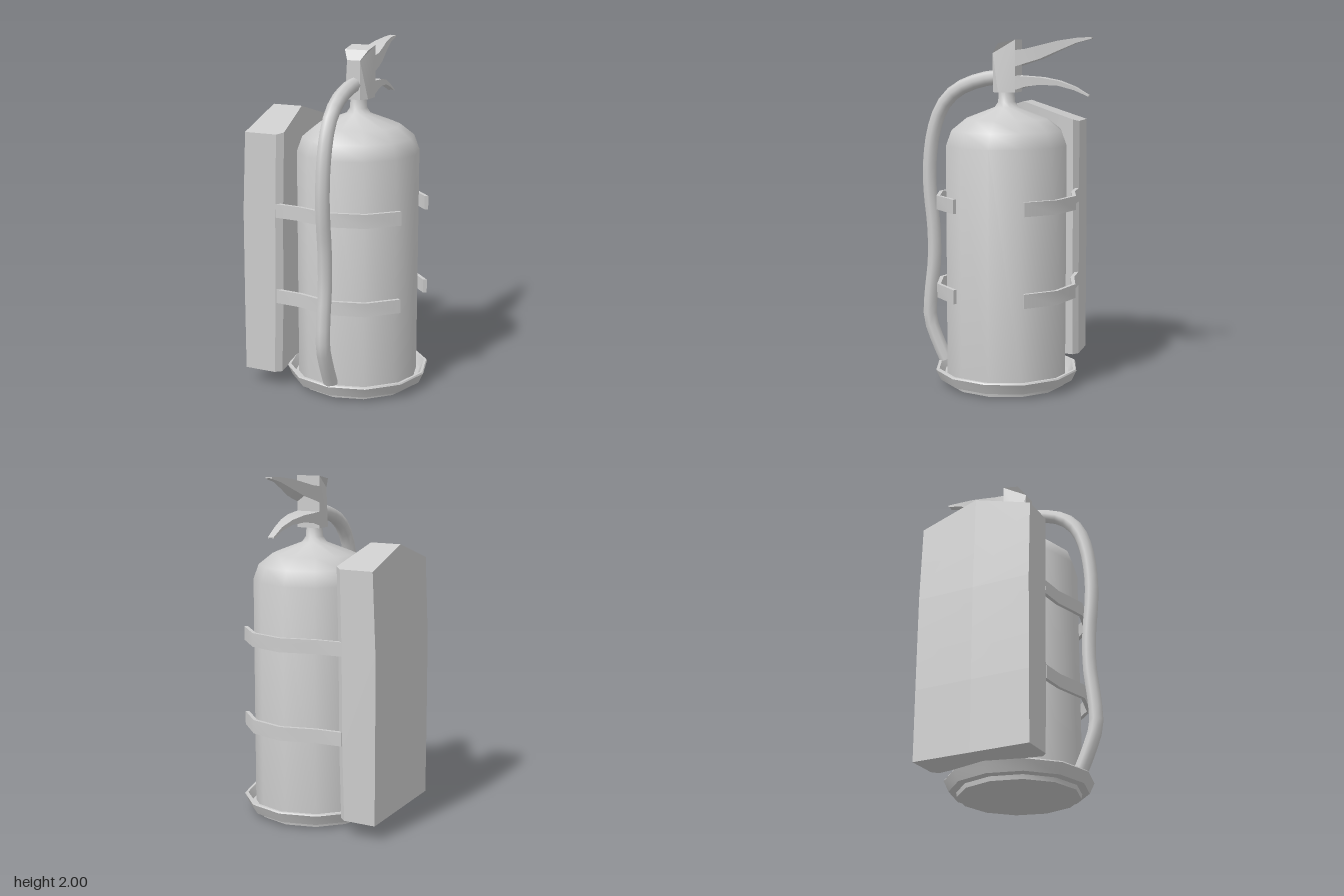
import * as THREE from 'three';
import { toCreasedNormals } from 'three/addons/utils/BufferGeometryUtils.js';

const CX = 0.07, CZ = -0.01; // axis of the tank

// Skin through closed rings (counter-clockwise seen from the far end), capped at both ends
function loft(rings, crease = 0.6) {
  const pos = [];
  const n = rings[0].length;
  const tri = (...pts) => pts.forEach((p) => pos.push(...p));
  const middle = (r) => r[0].map((v, k) => (v + r[n / 2][k]) / 2);
  const last = rings[rings.length - 1];
  for (let j = 0; j < n; j++) {
    const k = (j + 1) % n;
    for (let i = 0; i < rings.length - 1; i++) {
      const [a, b, c, d] = [rings[i][j], rings[i][k], rings[i + 1][k], rings[i + 1][j]];
      tri(a, b, c);
      tri(a, c, d);
    }
    tri(middle(rings[0]), rings[0][k], rings[0][j]);
    tri(middle(last), last[j], last[k]);
  }
  const geo = new THREE.BufferGeometry();
  geo.setAttribute('position', new THREE.Float32BufferAttribute(pos, 3));
  return toCreasedNormals(geo, crease);
}

function lathe(profile, crease) {
  const geo = new THREE.LatheGeometry(profile.map(([r, y]) => new THREE.Vector2(r, y)), 12);
  return toCreasedNormals(geo, crease).translate(CX, 0, CZ);
}

// Lever from stations [z, bottom, top, half width], hollowed underneath
function lever(stations) {
  return loft(stations.map(([z, b, t, w]) => [
    [CX - w, b, z], [CX - w, t, z], [CX, t, z],
    [CX + w, t, z], [CX + w, b, z], [CX, b + (t - b) * 0.6, z],
  ]));
}

// Backing shell: hollow towards the tank, with a gabled top
function shellGeometry() {
  const ring = (yOf, back, front) => [
    [back, 0], [back, 0.345], [front - 0.035, 0.345], [front, 0.315],
    [front - 0.05, 0], [front, -0.315], [front - 0.035, -0.345], [back, -0.345],
  ].map(([x, z]) => [x, yOf(Math.abs(z)), CZ + z]);
  return loft([
    ring(() => 0.09, -0.5, -0.275),
    ring(() => 0.5, -0.5, -0.262),
    ring(() => 1.05, -0.497, -0.256),
    ring((z) => 1.62 - 0.32 * z, -0.476, -0.243),
  ]);
}

// Strap running from the shell around one side of the tank
function strapGeometry(side) {
  const line = (r, zEnd) => [
    ...[30, 60, 90, 120].map((deg) => {
      const a = THREE.MathUtils.degToRad(deg);
      return new THREE.Vector2(CX + r * Math.cos(a), CZ + side * r * Math.sin(a));
    }),
    new THREE.Vector2(-0.29, CZ + side * zEnd),
  ];
  const shape = new THREE.Shape([...line(0.41, 0.345), ...line(0.388, 0.322).reverse()]);
  const geo = new THREE.ExtrudeGeometry(shape, { depth: 0.08, bevelEnabled: false });
  return toCreasedNormals(geo.rotateX(Math.PI / 2), 0.6);
}

// Valve block: side profile extruded across x, narrowed at the front
function valveGeometry() {
  const profile = [[0.06, 1.69], [0.06, 1.91], [0.02, 1.965], [-0.08, 1.985],
    [-0.08, 1.69], [0.02, 1.69]];
  const shape = new THREE.Shape(profile.map(([z, y]) => new THREE.Vector2(-z, y)));
  const geo = new THREE.ExtrudeGeometry(shape, { depth: 0.144, bevelEnabled: false });
  geo.translate(0, 0, -0.072).rotateY(Math.PI / 2);
  const p = geo.attributes.position;
  for (let i = 0; i < p.count; i++) {
    if (p.getZ(i) > 0.05) p.setX(i, p.getX(i) * 0.55);
  }
  return toCreasedNormals(geo.translate(CX, 0, 0), 0.4);
}

// Hose curving from the valve down to the foot of the tank
function hoseGeometry() {
  const path = [[1.775, 0.04], [1.765, 0.11], [1.74, 0.2], [1.69, 0.3], [1.6, 0.38], [1.45, 0.435],
    [1.25, 0.46], [1.1, 0.457], [0.9, 0.437], [0.7, 0.435], [0.5, 0.457], [0.35, 0.463],
    [0.22, 0.42], [0.1, 0.365]];
  const curve = new THREE.CatmullRomCurve3(path.map(([y, z]) => new THREE.Vector3(CX, y, z)));
  return new THREE.TubeGeometry(curve, 26, 0.042, 8, false);
}

export function createModel() {
  const group = new THREE.Group();
  const material = new THREE.MeshStandardMaterial({ color: 0xcccccc });
  const openMaterial = new THREE.MeshStandardMaterial({ color: 0xcccccc, side: THREE.DoubleSide });
  const add = (name, geometry, mat = material) => {
    const mesh = new THREE.Mesh(geometry, mat);
    mesh.name = name;
    group.add(mesh);
    return mesh;
  };

  // Tank with rounded shoulder and neck
  add('tank', lathe([[0, 0.05], [0.353, 0.05], [0.353, 1.39], [0.322, 1.475], [0.24, 1.54],
    [0.07, 1.605], [0.05, 1.635], [0.045, 1.7]], 0.9));

  // Dished base tray
  add('baseTray', lathe([[0, 0], [0.345, 0], [0.35, 0.025], [0.392, 0.03], [0.42, 0.09],
    [0.415, 0.098], [0.4, 0.098], [0.375, 0.05], [0, 0.05]], 0.7));

  add('backShell', shellGeometry());

  // Two pairs of straps
  for (const top of [0.6, 1.11]) {
    for (const side of [1, -1]) add('strap', strapGeometry(side)).position.y = top;
  }

  // Valve, levers and hose
  add('valveBlock', valveGeometry());
  add('upperLever', lever([[-0.06, 1.83, 1.925, 0.072], [-0.14, 1.855, 1.935, 0.068],
    [-0.22, 1.88, 1.955, 0.056], [-0.32, 1.925, 1.98, 0.038], [-0.42, 1.968, 1.995, 0.023],
    [-0.505, 1.99, 2.0, 0.02]]));
  add('lowerLever', lever([[-0.06, 1.7, 1.785, 0.072], [-0.14, 1.725, 1.78, 0.066],
    [-0.22, 1.735, 1.775, 0.054], [-0.32, 1.73, 1.757, 0.037], [-0.41, 1.705, 1.725, 0.023],
    [-0.49, 1.67, 1.678, 0.018]]));
  add('hose', hoseGeometry(), openMaterial);

  return group;
}
